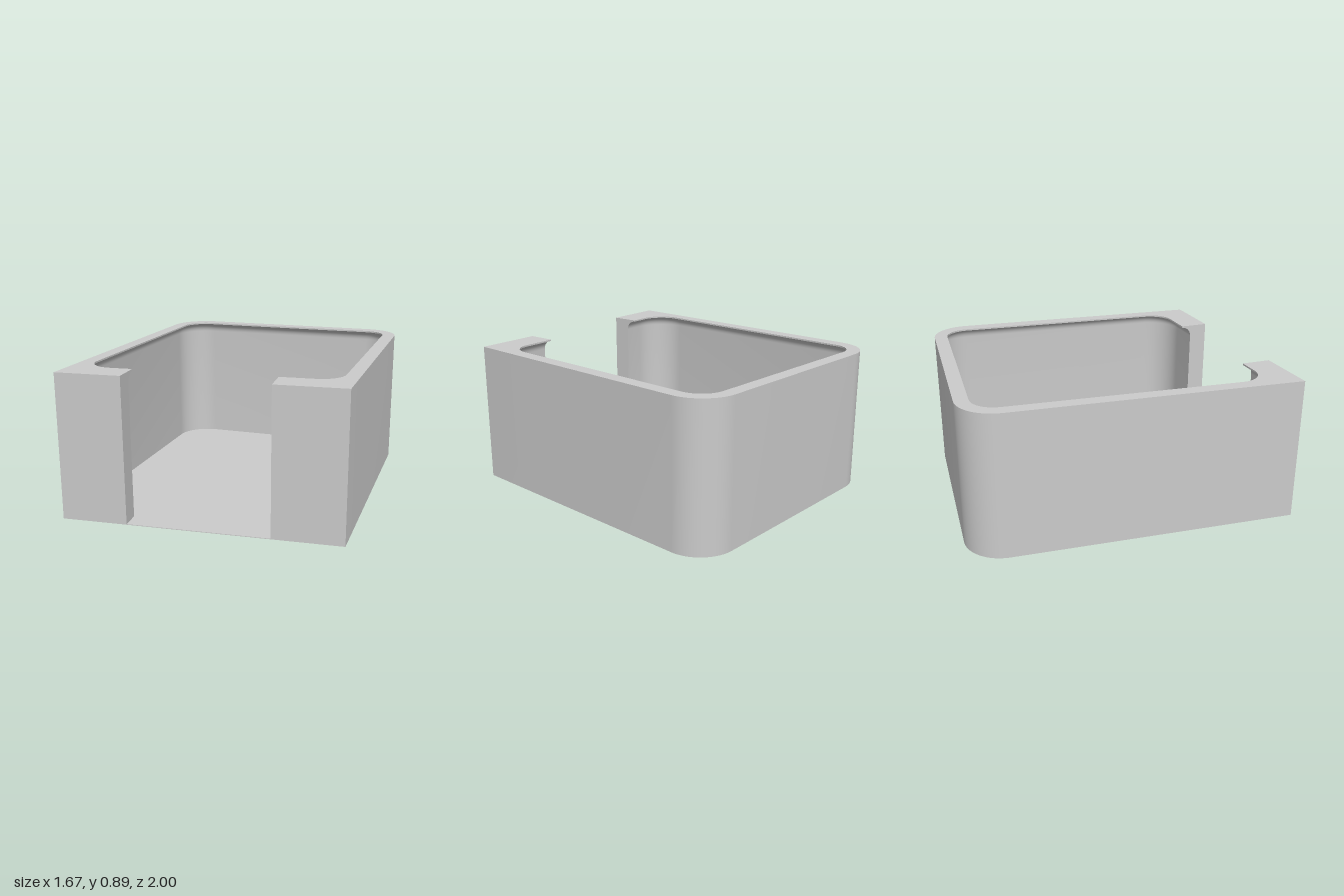
import * as THREE from 'three';
import { toCreasedNormals } from 'three/addons/utils/BufferGeometryUtils.js';

const HEIGHT = 0.89, FLOOR = 0.004;
const LIP_R = 0.15, COVE = 0.065, LIP_THICK = 0.01;
const SLANT = Math.atan2(1, 0.078); // direction the slanted front faces
const NX = Math.cos(SLANT), NZ = Math.sin(SLANT);

// Points of an arc in plan, as [x, z]
function arc(cx, cz, r, from, to, steps = 16) {
  return Array.from({ length: steps + 1 }, (_, i) => {
    const a = from + (to - from) * i / steps;
    return [cx + r * Math.cos(a), cz + r * Math.sin(a)];
  });
}

// Outer plan: rounded at the back, sharp slanted front
function outerPlan() {
  return [
    [-0.437, 0.969], [-0.835, 1],
    ...arc(-0.6, -0.765, 0.235, Math.PI, Math.PI * 1.5),
    ...arc(0.6, -0.765, 0.235, Math.PI * 1.5, Math.PI * 2),
    [0.835, 0.87], [0.418, 0.9025],
  ];
}

// Closed wall plan whose inside corners have radius r (larger r = thinner wall)
function wallPlan(r) {
  const outer = outerPlan();
  const cl = [-0.6, 0.648], cr = [0.6, 0.555];
  // inner end of the opening, square to the front
  const end = (p, c) => {
    const t = (c[0] - p[0]) * NX + (c[1] - p[1]) * NZ + r;
    return [p[0] + NX * t, p[1] + NZ * t];
  };
  return [
    ...outer,
    end(outer[outer.length - 1], cr),
    ...arc(...cr, r, SLANT, 0),
    ...arc(0.6, -0.765, r, 0, -Math.PI / 2),
    ...arc(-0.6, -0.765, r, Math.PI * 1.5, Math.PI),
    ...arc(...cl, r, Math.PI, SLANT),
    end(outer[0], cl),
  ];
}

const toShape = plan => new THREE.Shape(plan.map(([x, z]) => new THREE.Vector2(x, -z)));

// Skin between plans stacked in height
function loft(levels) {
  const rings = levels.map(([y, r]) => wallPlan(r).map(([x, z]) => [x, y, z]));
  const n = rings[0].length, index = [];
  for (let k = 0; k < rings.length - 1; k++) {
    for (let i = 0; i < n; i++) {
      const j = (i + 1) % n;
      const a = k * n + i, b = k * n + j, c = b + n, d = a + n;
      index.push(a, d, b, b, d, c);
    }
  }
  const geo = new THREE.BufferGeometry();
  geo.setAttribute('position', new THREE.Float32BufferAttribute(rings.flat(2), 3));
  geo.setIndex(index);
  return toCreasedNormals(geo, 0.5);
}

export function createModel() {
  const group = new THREE.Group();
  const material = new THREE.MeshStandardMaterial({ color: 0xcccccc });
  const add = (name, geometry, y = 0) => {
    const mesh = new THREE.Mesh(geometry, material);
    mesh.name = name;
    mesh.position.y = y;
    group.add(mesh);
  };

  // Thin floor
  const floor = new THREE.ExtrudeGeometry(toShape(outerPlan()), { depth: FLOOR, bevelEnabled: false });
  add('floor', toCreasedNormals(floor.rotateX(-Math.PI / 2), 0.5));

  // Wall with front opening; a cove sweeps inwards under the lip
  const levels = [[FLOOR, LIP_R + COVE]];
  const coveTop = HEIGHT - LIP_THICK;
  for (let i = 0; i <= 10; i++) {
    const a = i / 10 * Math.PI / 2;
    levels.push([coveTop - COVE + COVE * Math.sin(a), LIP_R + COVE * Math.cos(a)]);
  }
  levels.push([HEIGHT, LIP_R]);
  add('wall', loft(levels));

  // Flat top of the lip
  add('rim', new THREE.ShapeGeometry(toShape(wallPlan(LIP_R))).rotateX(-Math.PI / 2), HEIGHT);

  return group;
}
